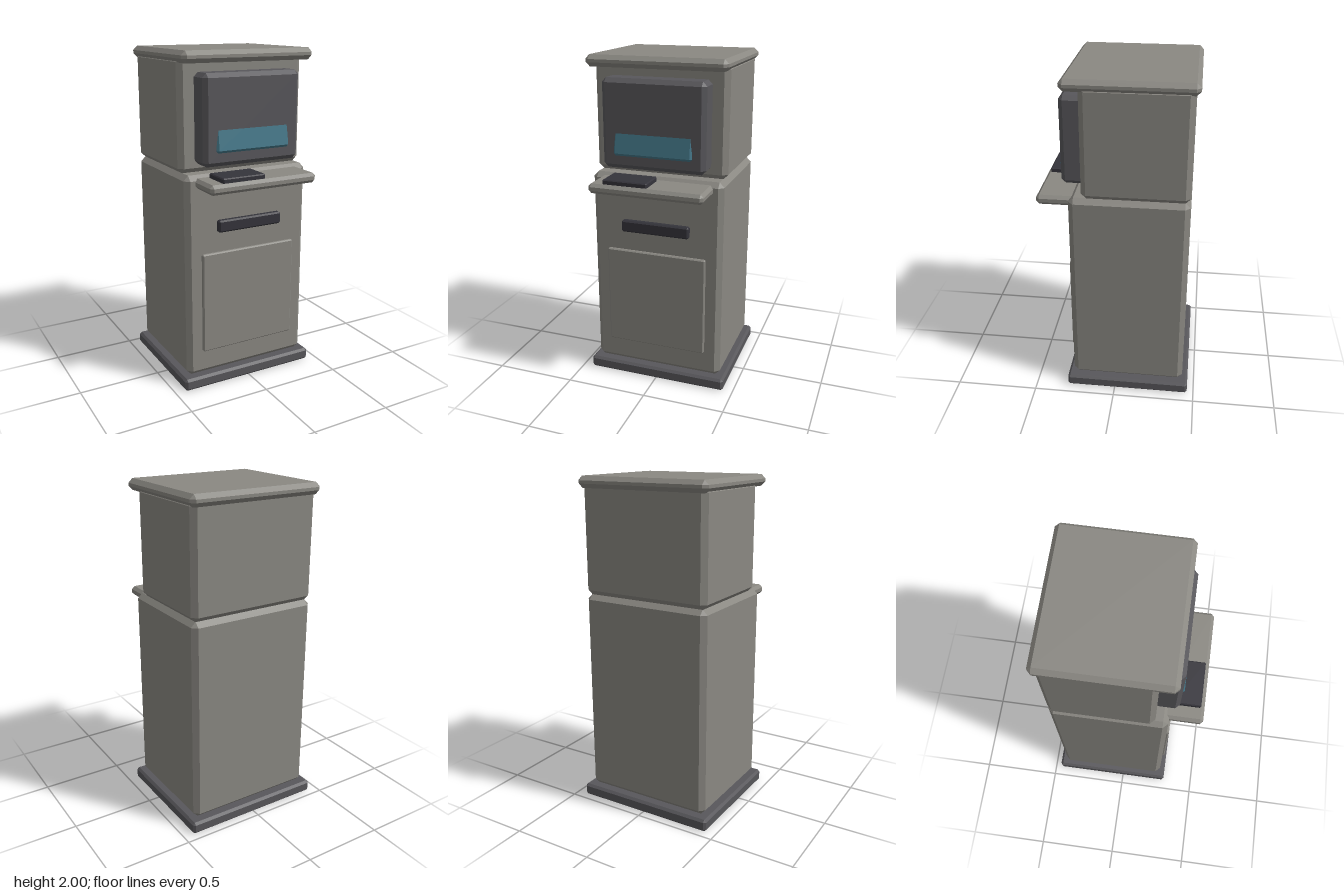
import * as THREE from 'three';
import { ConvexGeometry } from 'three/addons/geometries/ConvexGeometry.js';

const material = (name, color) => {
  const m = new THREE.MeshStandardMaterial({ color });
  m.name = name;
  return m;
};

// Box with every edge cut by a flat chamfer of size c
function chamferBox(w, h, d, c) {
  const points = [];
  for (const sx of [-1, 1]) for (const sy of [-1, 1]) for (const sz of [-1, 1]) {
    const x = w / 2, y = h / 2, z = d / 2;
    points.push(
      new THREE.Vector3(sx * x, sy * (y - c), sz * (z - c)),
      new THREE.Vector3(sx * (x - c), sy * y, sz * (z - c)),
      new THREE.Vector3(sx * (x - c), sy * (y - c), sz * z)
    );
  }
  return new ConvexGeometry(points);
}

export function createModel() {
  const group = new THREE.Group();
  group.name = 'kiosk';

  const casing = material('warm grey casing', 0x8a8882);
  const trim = material('dark grey trim', 0x58575b);
  const black = material('near black plastic', 0x35343b);
  const glass = material('teal screen', 0x44788a);

  // Place a chamfered box by its extents on each axis
  const add = (name, mat, [x0, x1], [y0, y1], [z0, z1], c) => {
    const mesh = new THREE.Mesh(chamferBox(x1 - x0, y1 - y0, z1 - z0, c), mat);
    mesh.position.set((x0 + x1) / 2, (y0 + y1) / 2, (z0 + z1) / 2);
    mesh.name = name;
    group.add(mesh);
    return mesh;
  };

  // Cabinet stack
  add('base', trim, [-0.44, 0.44], [0, 0.075], [-0.46, 0.3], 0.014);
  add('lowerCabinet', casing, [-0.405, 0.405], [0.075, 1.315], [-0.425, 0.265], 0.03);
  add('upperCabinet', casing, [-0.405, 0.405], [1.313, 1.965], [-0.425, 0.19], 0.03);
  add('roof', casing, [-0.42, 0.42], [1.932, 2], [-0.45, 0.29], 0.025);

  // Display housing, with the screen leaning back into it
  add('displayHousing', trim, [-0.31, 0.31], [1.363, 1.88], [0.12, 0.315], 0.025);
  const screen = add('screen', glass, [-0.236, 0.236], [1.439, 1.789], [0.269, 0.309], 0.012);
  screen.rotation.x = -0.13;

  // Shelf and the pad on it
  add('shelf', casing, [-0.345, 0.345], [1.24, 1.298], [0.15, 0.46], 0.018);
  add('keypad', black, [-0.26, 0.01], [1.288, 1.325], [0.27, 0.438], 0.006);

  // Front details
  add('slot', black, [-0.21, 0.21], [0.968, 1.04], [0.235, 0.297], 0.009);
  add('servicePanel', casing, [-0.31, 0.31], [0.228, 0.845], [0.25, 0.284], 0.007);

  return group;
}
